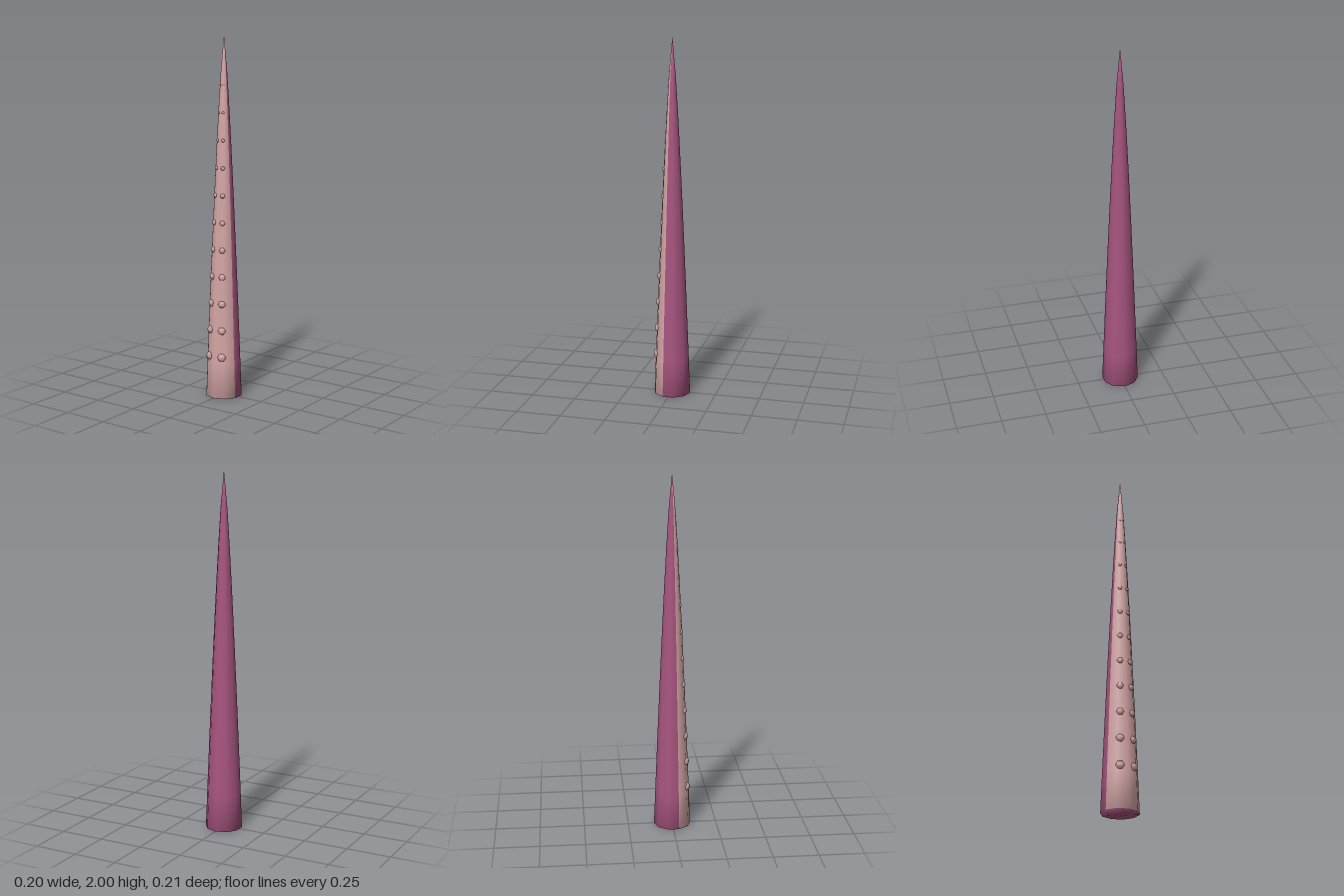
import * as THREE from 'three';

const SIDES = 10, RINGS = 10, HEIGHT = 2, BASE = 0.1035;

// Slightly bulging taper
const radiusAt = (y) => BASE * Math.pow(1 - y / HEIGHT, 0.75);

// Ten-sided spike with a shared smooth surface; group 0 is skin, group 1 the front strip
function spikeGeometry() {
  const pos = [];
  for (let r = 0; r < RINGS; r++) {
    const y = (r / RINGS) * HEIGHT, rad = radiusAt(y);
    for (let s = 0; s < SIDES; s++) {
      const a = (s / SIDES) * Math.PI * 2;
      pos.push(Math.sin(a) * rad, y, Math.cos(a) * rad);
    }
  }
  const tip = RINGS * SIDES, bottom = tip + 1;
  pos.push(0, HEIGHT, 0, 0, 0, 0);

  const skin = [], strip = [];
  for (let s = 0; s < SIDES; s++) {
    const n = (s + 1) % SIDES;
    const out = s < 2 || s >= SIDES - 2 ? strip : skin;
    for (let r = 0; r < RINGS - 1; r++) {
      const a = r * SIDES + s, b = r * SIDES + n;
      out.push(a, b, b + SIDES, a, b + SIDES, a + SIDES);
    }
    const top = (RINGS - 1) * SIDES;
    out.push(top + s, top + n, tip);
    skin.push(n, s, bottom);
  }
  const g = new THREE.BufferGeometry();
  g.setAttribute('position', new THREE.Float32BufferAttribute(pos, 3));
  g.setIndex([...skin, ...strip]);
  g.addGroup(0, skin.length, 0);
  g.addGroup(skin.length, strip.length, 1);
  g.computeVertexNormals();
  return g;
}

export function createModel() {
  const model = new THREE.Group();
  model.name = 'tentacle';

  const skin = new THREE.MeshStandardMaterial({ color: 0xa8557f });
  skin.name = 'plum skin';
  const pale = new THREE.MeshStandardMaterial({ color: 0xd4a5a5 });
  pale.name = 'pale pink';

  const body = new THREE.Mesh(spikeGeometry(), [skin, pale]);
  body.name = 'body';
  model.add(body);

  // Two columns of flattened suckers, shrinking toward the tip
  const suckers = new THREE.Group();
  suckers.name = 'suckers';
  const bead = new THREE.SphereGeometry(1, 6, 4).rotateX(Math.PI / 2);
  for (let i = 0; i < 11; i++) {
    const y = 0.235 + i * 0.15, rad = radiusAt(y);
    for (const side of [-1, 1]) {
      const angle = side * 0.47, size = rad * 0.26;
      const sucker = new THREE.Mesh(bead, pale);
      sucker.name = side > 0 ? 'leftSucker' : 'rightSucker';
      sucker.position.set(Math.sin(angle) * rad * 0.97, y, Math.cos(angle) * rad * 0.97);
      sucker.rotation.y = angle;
      sucker.scale.set(size, size, size * 0.6);
      suckers.add(sucker);
    }
  }
  model.add(suckers);
  return model;
}
